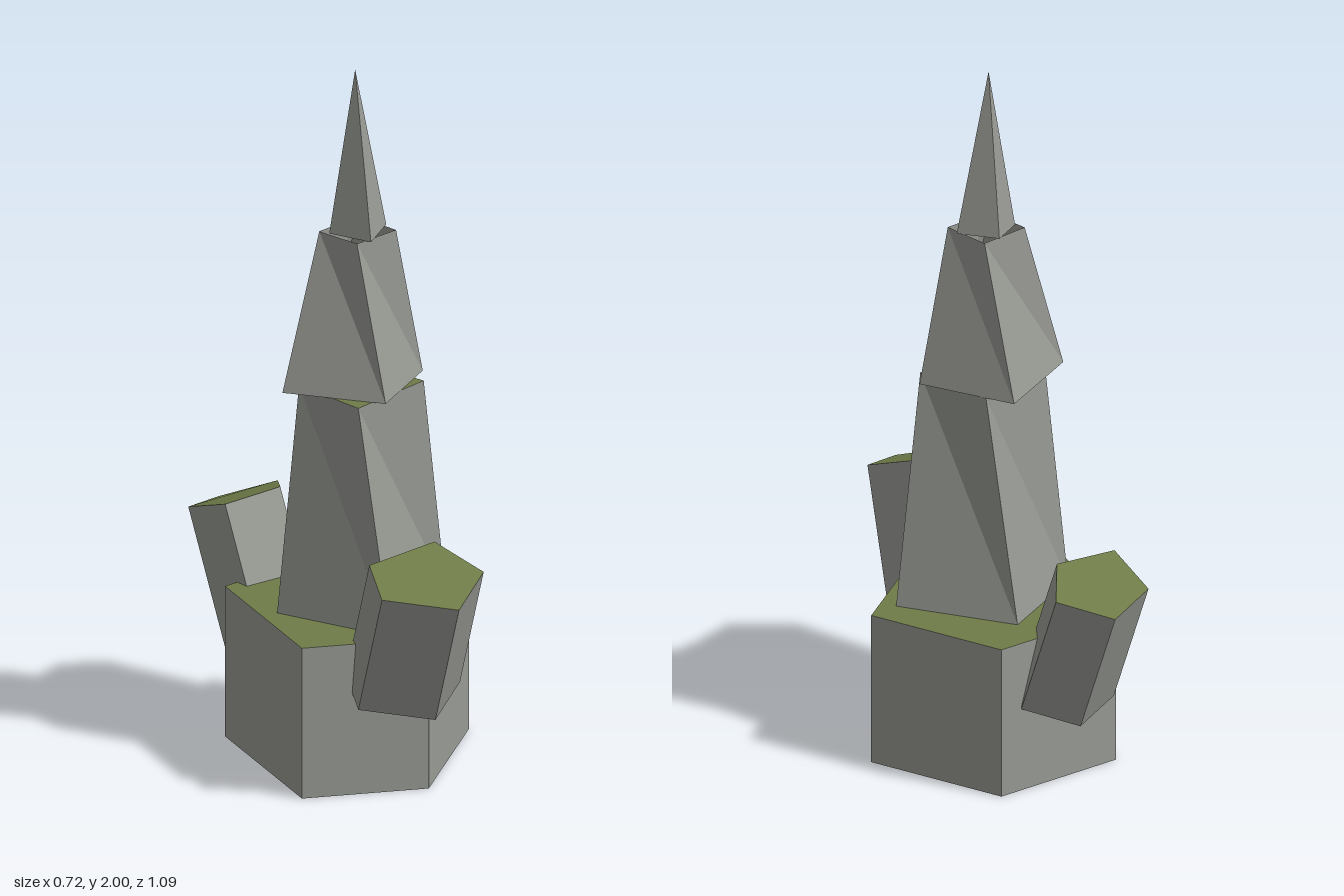
import * as THREE from 'three';

const stone = new THREE.MeshStandardMaterial({ color: 0x989a94, flatShading: true, side: THREE.DoubleSide });
const moss = new THREE.MeshStandardMaterial({ color: 0x6f7c48, flatShading: true });
const earth = new THREE.MeshStandardMaterial({ color: 0x62594f, flatShading: true });

function facets(name, triangles, material) {
  const geometry = new THREE.BufferGeometry();
  geometry.setAttribute('position', new THREE.Float32BufferAttribute(triangles.flat(2), 3));
  geometry.computeVertexNormals();
  const mesh = new THREE.Mesh(geometry, material);
  mesh.name = name;
  return mesh;
}

// Walls between two rings (counter-clockwise from above), open at both ends
function walls(name, bottom, top) {
  const triangles = bottom.flatMap((p, i) => {
    const j = (i + 1) % bottom.length;
    return [[p, bottom[j], top[i]], [bottom[j], top[j], top[i]]];
  });
  return facets(name, triangles, stone);
}

const fan = ring => ring.slice(2).map((p, i) => [ring[0], ring[i + 1], p]);

// Closed rock: stone walls, mossy top and earthy underside
function rock(name, bottom, top) {
  const group = new THREE.Group();
  group.name = name;
  group.add(
    walls(name + 'Walls', bottom, top),
    facets(name + 'MossyTop', fan(top), moss),
    facets(name + 'Underside', fan([...bottom].reverse()), earth));
  return group;
}

const level = (y, points) => points.map(([x, z]) => [x, y, z]);
const shift = (points, d) => points.map(p => p.map((v, k) => v + d[k]));

export function createModel() {
  const model = new THREE.Group();
  model.name = 'rockSpire';

  // Five-sided foot
  const foot = [[-0.2, 0.297], [0.155, 0.297], [0.36, -0.12], [0.045, -0.402], [-0.303, -0.21]];
  model.add(rock('base', level(0, foot), level(0.44, foot)));

  // Twisted four-sided tiers: front, right, back and left corners
  const lowerTop = level(1.09, [[-0.02, 0.197], [0.2, 0.03], [0.05, -0.17], [-0.14, -0.01]]);
  model.add(walls('lowerTier',
    level(0.44, [[0.055, 0.263], [0.283, -0.07], [-0.025, -0.245], [-0.208, 0.02]]), lowerTop));
  model.add(facets('lowerTierMossyTop', fan(lowerTop), moss));
  model.add(walls('middleTier',
    level(1.09, [[0.06, 0.18], [0.214, -0.045], [-0.02, -0.217], [-0.197, 0.037]]),
    level(1.53, [[0, 0.09], [0.127, 0.01], [0.045, -0.112], [-0.08, -0.025]])));

  // Pointed peak
  const rim = level(1.53, [[0.04, 0.086], [0.11, -0.037], [0, -0.088], [-0.057, -0.003]]);
  const apex = [0.018, 2, -0.014];
  model.add(facets('peak', rim.map((p, i) => [p, rim[(i + 1) % 4], apex]), stone));

  // Leaning side stones, each extruded down from its tilted top
  const frontTop = [[-0.027, 0.695, 0.367], [-0.022, 0.644, 0.504], [0.185, 0.612, 0.543],
    [0.288, 0.658, 0.39], [0.175, 0.714, 0.278]];
  model.add(rock('frontStone', shift(frontTop, [-0.035, -0.371, -0.14]), frontTop));

  const backTop = [[-0.36, 0.6, -0.415], [-0.289, 0.656, -0.27], [-0.117, 0.663, -0.35],
    [-0.089, 0.62, -0.507], [-0.247, 0.573, -0.543]];
  model.add(rock('backStone', shift(backTop, [0.075, -0.373, 0.13]), backTop));

  return model;
}
